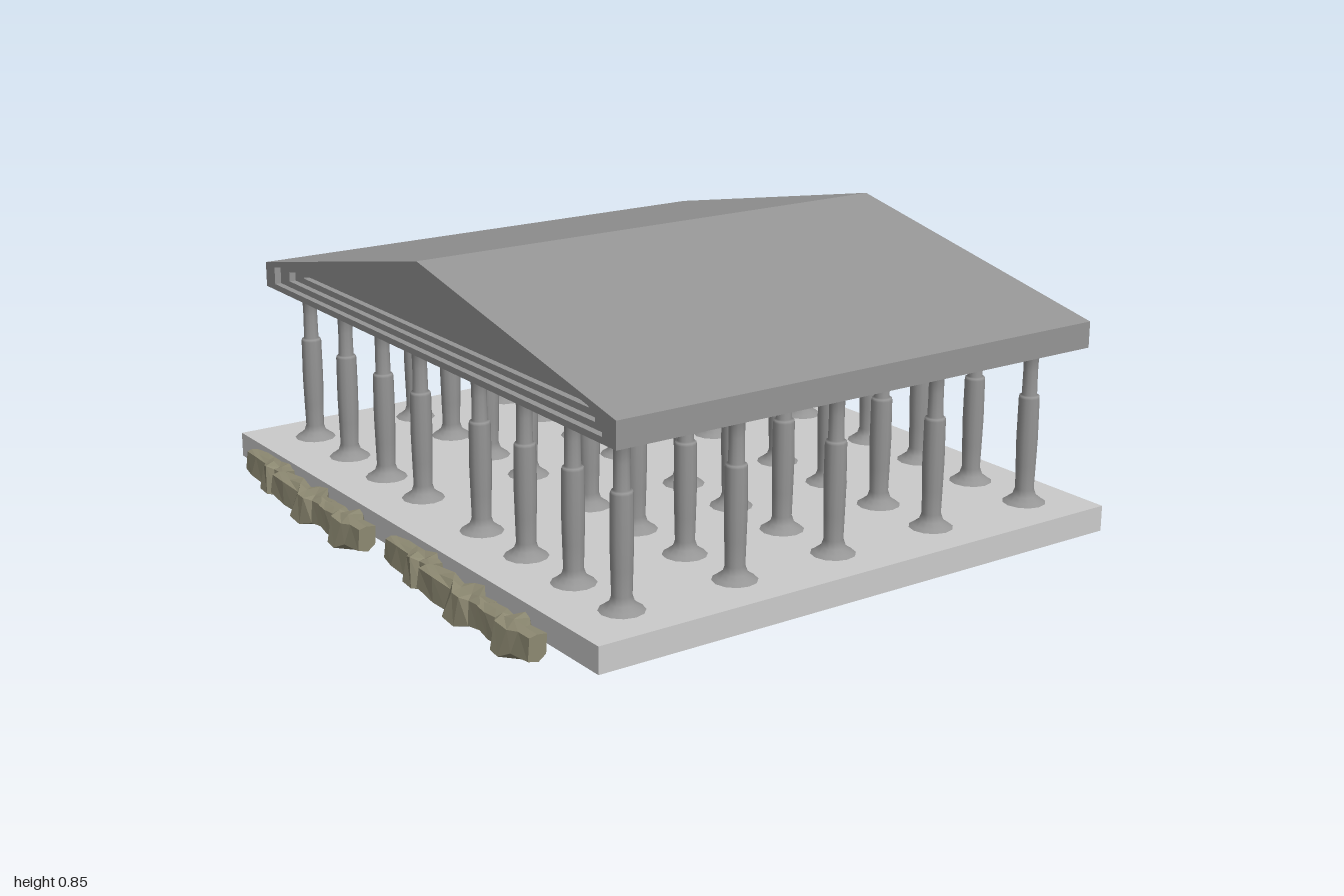
import * as THREE from 'three';

const paint = (color, extra = {}) => new THREE.MeshStandardMaterial({ color, ...extra });

// Gable outline: five corners, drawn inwards by k steps
function gable(k, Kind = THREE.Shape) {
  const w = 0.96 - 0.06 * k, low = 0.58 + 0.018 * k;
  const eave = 0.655 + (0.06 * 0.203 - 0.018) * k;
  const p = new Kind();
  p.moveTo(-w, low);
  p.lineTo(w, low);
  p.lineTo(w, eave);
  p.lineTo(0, 0.85 - 0.018 * k);
  p.lineTo(-w, eave);
  p.closePath();
  return p;
}

// Slab of the gable outline running along x from x0 to x1
function gableSlab(shape, x0, x1, material, name) {
  const geo = new THREE.ExtrudeGeometry(shape, { depth: x1 - x0, bevelEnabled: false });
  geo.rotateY(Math.PI / 2).translate(x0, 0, 0);
  const mesh = new THREE.Mesh(geo, material);
  mesh.name = name;
  return mesh;
}

// Faceted rock: hexagonal sections lofted along z with one bulge
function rockGeometry(z0, z1, bulgeZ, cx, half, seed) {
  const section = [[-1, -0.8], [0.1, -1], [1, -0.55], [0.95, 0.9], [0, 1], [-0.75, 0.85]];
  const at = (a, b, t) => a + (b - a) * t;
  // z, width factor, downward reach
  const stations = [
    [z0, 0.75, 0.028], [at(z0, bulgeZ, 0.4), 0.95, 0.04], [at(z0, bulgeZ, 0.75), 0.85, 0.042],
    [bulgeZ - 0.02, 1.4, 0.055], [bulgeZ + 0.02, 1.45, 0.06],
    [at(bulgeZ, z1, 0.5), 0.9, 0.045], [z1, 0.8, 0.038],
  ];
  const n = section.length, pos = [], idx = [];
  stations.forEach(([z, w, drop], i) => section.forEach(([sx, sy], j) => {
    const wob = Math.sin(i * 4.1 + j * 2.7 + seed);
    const inner = i > 0 && i < stations.length - 1 ? 1 : 0;
    pos.push(
      cx + sx * half * w * (1 + 0.1 * wob),
      0.066 + sy * (sy < 0 ? drop : 0.036) + inner * 0.005 * wob,
      z + inner * 0.014 * Math.sin(j * 1.9 + seed + i));
  }));
  for (let i = 0; i < stations.length - 1; i++) {
    for (let j = 0; j < n; j++) {
      const a = i * n + j, b = i * n + (j + 1) % n;
      idx.push(a, b, b + n, a, b + n, a + n);
    }
  }
  // End faces
  const last = (stations.length - 1) * n;
  for (let j = 1; j < n - 1; j++) {
    idx.push(0, j + 1, j, last, last + j, last + j + 1);
  }
  const geo = new THREE.BufferGeometry();
  geo.setAttribute('position', new THREE.Float32BufferAttribute(pos, 3));
  geo.setIndex(idx);
  geo.computeVertexNormals();
  return geo;
}

export function createModel() {
  const model = new THREE.Group();
  model.name = 'temple';
  const floorGrey = paint(0xcccccc);
  const stoneGrey = paint(0x959595);
  const columnGrey = paint(0x959595, { side: THREE.DoubleSide });
  const rockBrown = paint(0x8d8972, { flatShading: true, side: THREE.DoubleSide });

  // Floor slab
  const floor = new THREE.Mesh(new THREE.BoxGeometry(1.72, 0.075, 2), floorGrey);
  floor.position.set(0.06, 0.0725, 0);
  floor.name = 'floorSlab';
  model.add(floor);

  // Roof: solid body with a stepped recess in the -x gable
  const roof = new THREE.Group();
  roof.name = 'roof';
  const left = -0.715, step = 0.02, steps = 3;
  for (let k = 0; k < steps; k++) {
    const frame = gable(0);
    frame.holes.push(gable(k + 1, THREE.Path));
    roof.add(gableSlab(frame, left + k * step, left + (k + 1) * step, stoneGrey, 'gableFrame'));
  }
  roof.add(gableSlab(gable(0), left + steps * step, 0.862, stoneGrey, 'roofBody'));
  roof.position.z = 0.006;
  roof.rotation.y = -0.006;
  model.add(roof);

  // Columns: flared foot, swelling shaft, narrow neck, spreading capital
  const profile = [
    [0.065, 0.108], [0.05, 0.118], [0.034, 0.13], [0.027, 0.15], [0.029, 0.22], [0.031, 0.3],
    [0.03, 0.42], [0.028, 0.427], [0.022, 0.43], [0.021, 0.5], [0.022, 0.545],
    [0.035, 0.558], [0.065, 0.572], [0.065, 0.581],
  ].map(([r, y]) => new THREE.Vector2(r, y));
  const columnGeo = new THREE.LatheGeometry(profile, 12);
  const columns = new THREE.Group();
  columns.name = 'columns';
  for (const x of [-0.625, -0.27, 0.06, 0.41, 0.765]) {
    for (const z of [0.845, 0.625, 0.395, 0.165, -0.16, -0.38, -0.61, -0.84]) {
      const column = new THREE.Mesh(columnGeo, columnGrey);
      column.position.set(x, 0, z);
      column.name = 'column';
      columns.add(column);
    }
  }
  model.add(columns);

  // Two matching heaps of rocks along the -x edge
  const rockGeos = [
    rockGeometry(0.59, 0.84, 0.72, -0.873, 0.035, 0.4),
    rockGeometry(0.28, 0.6, 0.49, -0.868, 0.035, 1.7),
    rockGeometry(0.04, 0.29, 0.2, -0.842, 0.029, 3.1),
  ];
  for (const [dx, dz] of [[0, 0], [0.01, -0.9]]) {
    const heap = new THREE.Group();
    heap.name = 'rockHeap';
    for (const geo of rockGeos) {
      const rock = new THREE.Mesh(geo, rockBrown);
      rock.name = 'rock';
      heap.add(rock);
    }
    heap.position.set(dx, 0, dz);
    model.add(heap);
  }
  return model;
}
